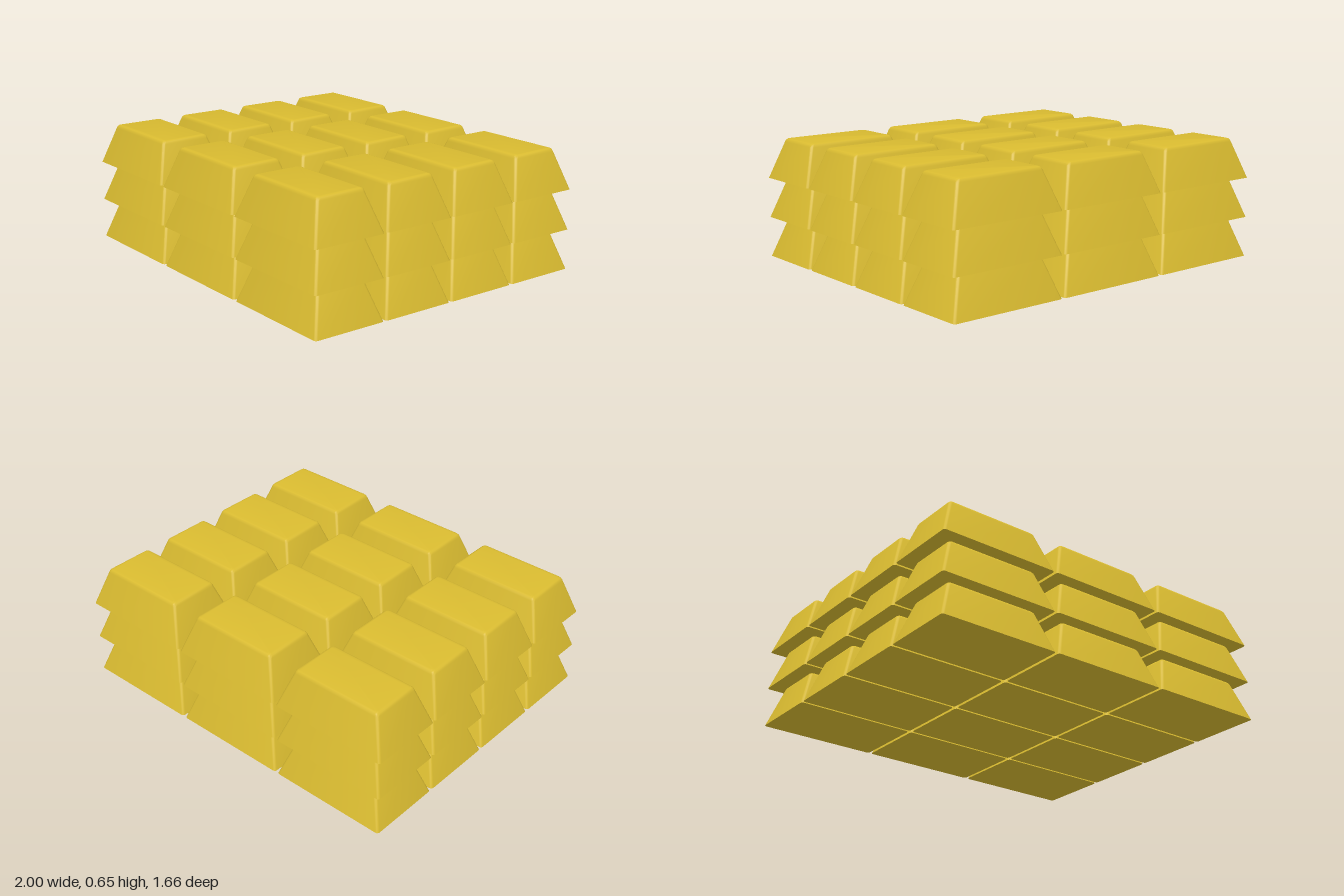
import * as THREE from 'three';
import { toCreasedNormals } from 'three/addons/utils/BufferGeometryUtils.js';

const BAR_HEIGHT = 0.217;
const CORNER_STEPS = 3;

// Outline of a rectangle with rounded corners, counter-clockwise seen from above
function roundedRing(halfX, halfZ, radius, y) {
  const ring = [];
  const corners = [[1, 1], [-1, 1], [-1, -1], [1, -1]];
  corners.forEach(([sx, sz], q) => {
    for (let i = 0; i <= CORNER_STEPS; i++) {
      const a = (q + i / CORNER_STEPS) * Math.PI / 2;
      ring.push([
        sx * (halfX - radius) + radius * Math.cos(a),
        y,
        sz * (halfZ - radius) + radius * Math.sin(a),
      ]);
    }
  });
  return ring;
}

// Tapered ingot with softened upper and corner edges, lofted from cross-sections
function barGeometry() {
  const rings = [
    [0.328, 0.2025, 0.014, 0],
    [0.2585, 0.1405, 0.016, 0.198],
    [0.254, 0.137, 0.016, 0.208],
    [0.247, 0.131, 0.015, 0.2145],
    [0.238, 0.122, 0.012, BAR_HEIGHT],
  ].map((section) => roundedRing(...section));
  const n = rings[0].length;
  const top = rings.length - 1;
  const positions = rings.flat(2);
  const index = [];
  // Sides
  for (let r = 0; r < top; r++) {
    for (let i = 0; i < n; i++) {
      const a = r * n + i;
      const b = r * n + (i + 1) % n;
      index.push(a, a + n, b, b, a + n, b + n);
    }
  }
  // Flat base and top
  for (let i = 1; i < n - 1; i++) {
    index.push(0, i, i + 1);
    index.push(top * n, top * n + i + 1, top * n + i);
  }
  const geometry = new THREE.BufferGeometry();
  geometry.setAttribute('position', new THREE.Float32BufferAttribute(positions, 3));
  geometry.setIndex(index);
  return toCreasedNormals(geometry, Math.PI / 5);
}

export function createModel() {
  const model = new THREE.Group();
  model.name = 'goldBarStack';
  const geometry = barGeometry();
  const gold = new THREE.MeshStandardMaterial({ color: 0xd9bb30 });

  // Three layers of three by four bars
  for (let layer = 0; layer < 3; layer++) {
    const group = new THREE.Group();
    group.name = `layer${layer + 1}`;
    group.position.y = layer * BAR_HEIGHT;
    for (let row = 0; row < 4; row++) {
      for (let column = 0; column < 3; column++) {
        const bar = new THREE.Mesh(geometry, gold);
        bar.name = 'goldBar';
        bar.position.set((column - 1) * 0.672, 0, (row - 1.5) * 0.417);
        group.add(bar);
      }
    }
    model.add(group);
  }
  return model;
}
